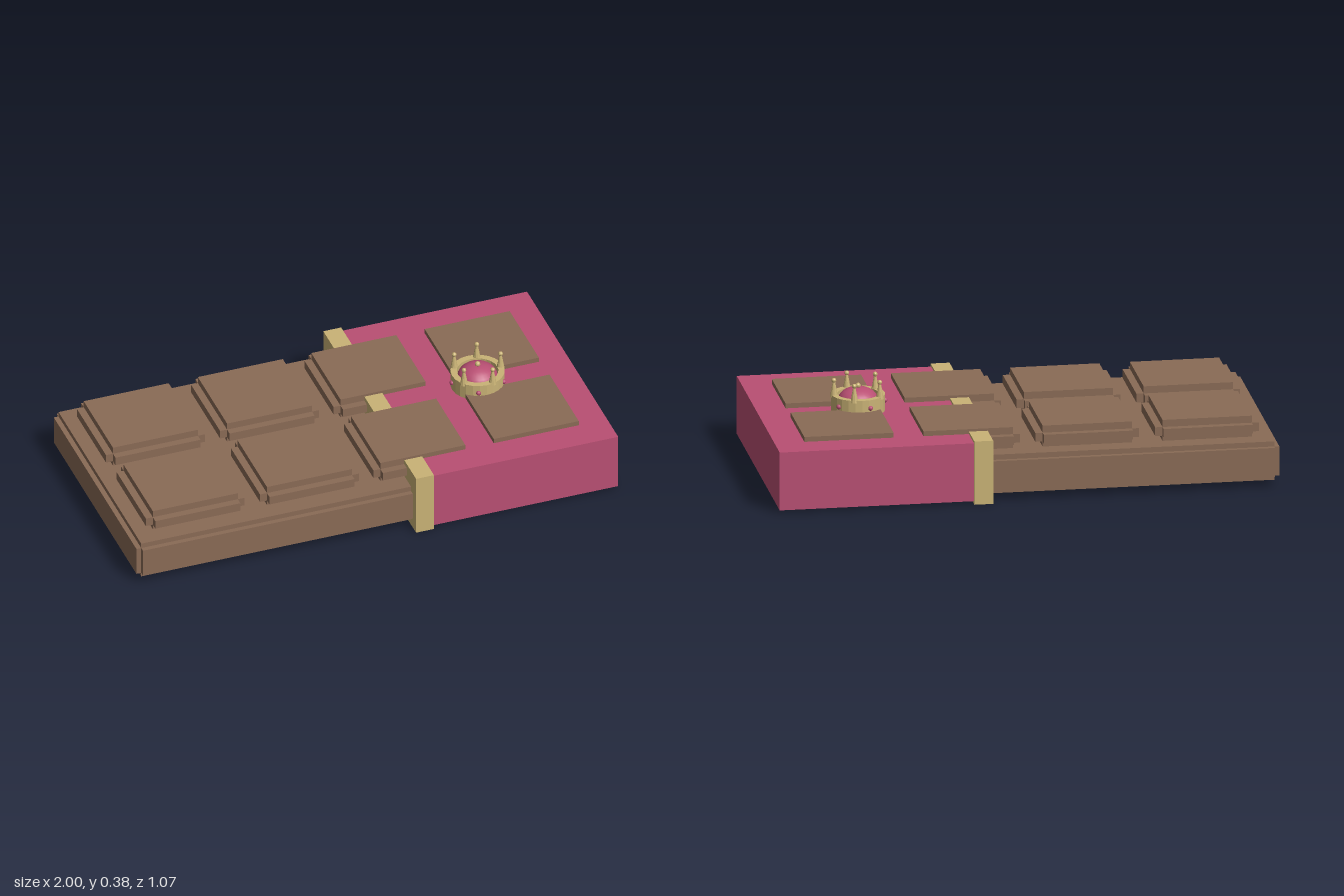
import * as THREE from 'three';

const mat = (name, color, flatShading = false) => {
  const m = new THREE.MeshStandardMaterial({ color, flatShading });
  m.name = name;
  return m;
};

export function createModel() {
  const root = new THREE.Group();
  root.name = 'chocolateBar';
  const chocolate = mat('chocolate', 0x8a6b56);
  const pink = mat('pinkWrapper', 0xb94f73);
  const gold = mat('gold', 0xcab376);

  const add = (parent, name, geo, material, x = 0, y = 0, z = 0) => {
    const m = new THREE.Mesh(geo, material);
    m.name = name;
    m.position.set(x, y, z);
    parent.add(m);
    return m;
  };
  // box given by its limits on each axis
  const box = (parent, name, material, [x0, x1], [y0, y1], [z0, z1]) =>
    add(parent, name, new THREE.BoxGeometry(x1 - x0, y1 - y0, z1 - z0), material,
      (x0 + x1) / 2, (y0 + y1) / 2, (z0 + z1) / 2);

  // stepped slab: three crossing boxes leave notched edges
  const slab = new THREE.Group();
  slab.name = 'slab';
  root.add(slab);
  box(slab, 'slabLong', chocolate, [-1, 0.2], [0.043, 0.163], [-0.475, 0.475]);
  box(slab, 'slabTall', chocolate, [-0.98, 0.2], [0.026, 0.184], [-0.475, 0.475]);
  box(slab, 'slabWide', chocolate, [-0.98, 0.2], [0.043, 0.163], [-0.495, 0.495]);

  // two rows of four chocolate squares, with the same notched edges
  [-0.725, -0.247, 0.228, 0.703].forEach((x, i) => {
    for (const side of [-1, 1]) {
      const square = new THREE.Group();
      square.name = 'square';
      square.position.set(x, 0, side * 0.229);
      root.add(square);
      box(square, 'squareTall', chocolate, [-0.178, 0.178], [0.18, 0.27], [-0.168, 0.168]);
      if (i === 3) continue; // lower steps are inside the wrapper
      box(square, 'squareLong', chocolate, [-0.207, 0.207], [0.205, 0.241], [-0.168, 0.168]);
      box(square, 'squareWide', chocolate, [-0.178, 0.178], [0.205, 0.241], [-0.197, 0.197]);
    }
  });

  // wrapper and its gold band
  box(root, 'wrapper', pink, [0.19, 1], [0.012, 0.25], [-0.524, 0.524]);
  box(root, 'wrapperBand', gold, [0.15, 0.225], [0, 0.26], [-0.533, 0.533]);

  // crown
  const crown = new THREE.Group();
  crown.name = 'crown';
  crown.position.set(0.602, 0, 0);
  root.add(crown);
  const ring = [[0.082, 0.248], [0.107, 0.248], [0.107, 0.317], [0.082, 0.317], [0.082, 0.248]]
    .map(([r, y]) => new THREE.Vector2(r, y));
  const goldFacet = mat('gold', 0xcab376, true);
  add(crown, 'crownRing', new THREE.LatheGeometry(ring, 24), goldFacet);
  const dome = add(crown, 'crownDome', new THREE.SphereGeometry(0.08, 24, 12), pink, 0, 0.29, 0);
  dome.scale.y = 0.67;
  add(crown, 'crownFinial', new THREE.SphereGeometry(0.011, 10, 8), goldFacet, 0, 0.349, 0);
  for (let i = 0; i < 5; i++) {
    const a = (i * Math.PI * 2) / 5;
    const [px, pz] = [Math.cos(a) * 0.096, Math.sin(a) * 0.096];
    add(crown, 'crownSpike', new THREE.CylinderGeometry(0.004, 0.016, 0.066, 10), goldFacet, px, 0.341, pz);
    add(crown, 'spikeBall', new THREE.SphereGeometry(0.0095, 10, 8), goldFacet, px, 0.375, pz);
    const b = a + Math.PI / 5;
    add(crown, 'crownJewel', new THREE.SphereGeometry(0.01, 10, 8), pink,
      Math.cos(b) * 0.107, 0.284, Math.sin(b) * 0.107);
  }
  return root;
}
